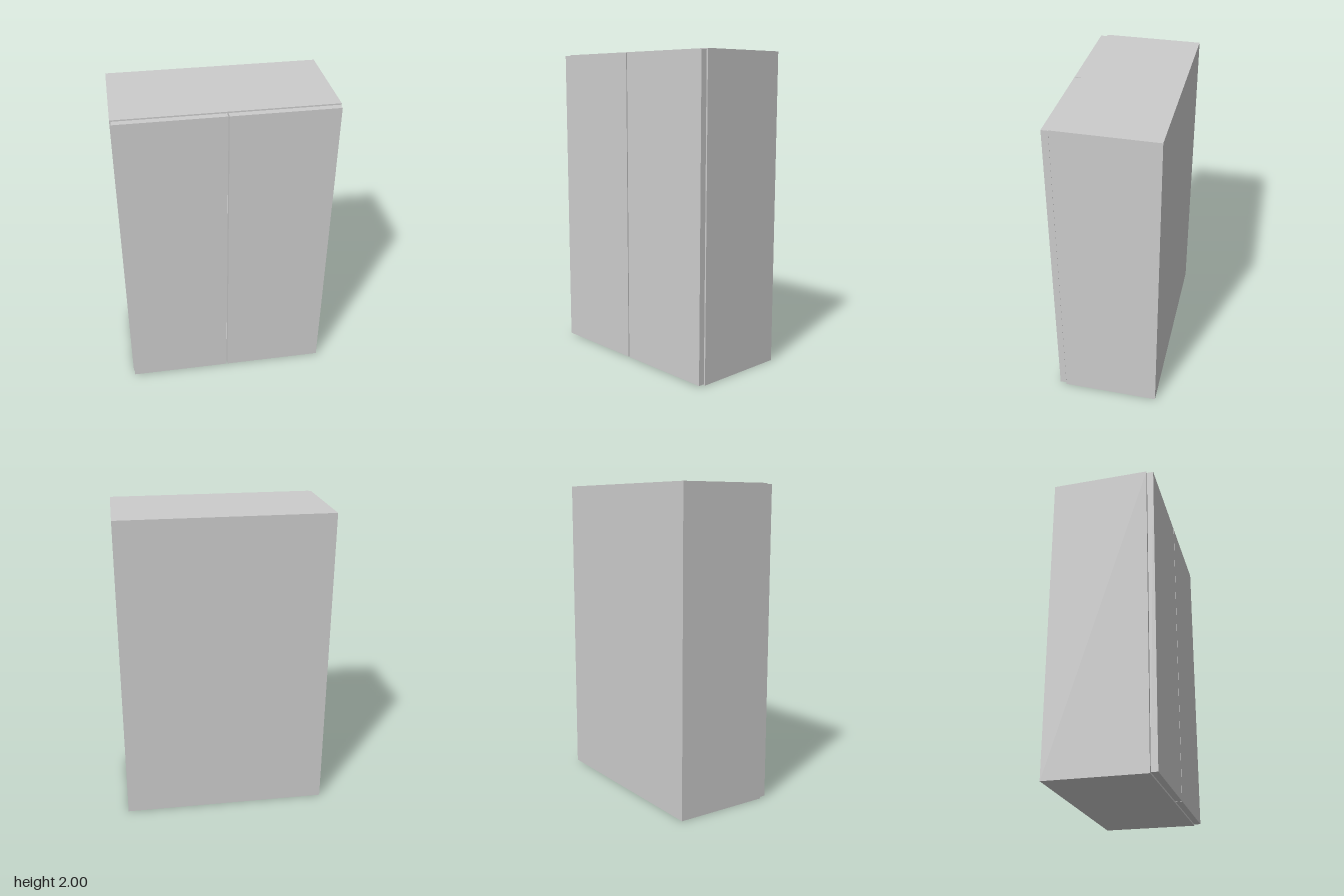
import * as THREE from 'three';

const WIDTH = 1.33, HEIGHT = 2, BOARD = 0.037;
const BACK = -0.333, FRONT = 0.289, DOOR_BACK = 0.292, DOOR_FRONT = 0.333;

export function createModel() {
  const cabinet = new THREE.Group();
  cabinet.name = 'cabinet';
  const material = new THREE.MeshStandardMaterial({ color: 0xcccccc });

  // Box given by its lower and upper corners
  const board = (name, [x0, y0, z0], [x1, y1, z1]) => {
    const mesh = new THREE.Mesh(new THREE.BoxGeometry(x1 - x0, y1 - y0, z1 - z0), material);
    mesh.position.set((x0 + x1) / 2, (y0 + y1) / 2, (z0 + z1) / 2);
    mesh.name = name;
    cabinet.add(mesh);
    return mesh;
  };

  const inner = WIDTH / 2 - BOARD;

  // Side panels and doors, mirrored about x = 0
  for (const [side, s] of [['left', 1], ['right', -1]]) {
    const panel = board(`${side}SidePanel`, [inner, 0, BACK], [WIDTH / 2, HEIGHT, FRONT]);
    const door = board(`${side}Door`, [0.004, 0.007, DOOR_BACK], [0.658, HEIGHT - 0.007, DOOR_FRONT]);
    panel.position.x *= s;
    door.position.x *= s;
  }

  // Bottom, middle shelf and top between the sides
  board('bottomPanel', [-inner, 0, BACK], [inner, BOARD, FRONT]);
  board('shelf', [-inner, 1 - BOARD / 2, BACK + 0.01], [inner, 1 + BOARD / 2, FRONT - 0.01]);
  board('topPanel', [-inner, HEIGHT - BOARD, BACK], [inner, HEIGHT, FRONT]);

  // Thin back panel
  board('backPanel', [-inner, BOARD, BACK], [inner, HEIGHT - BOARD, BACK + 0.01]);

  return cabinet;
}
